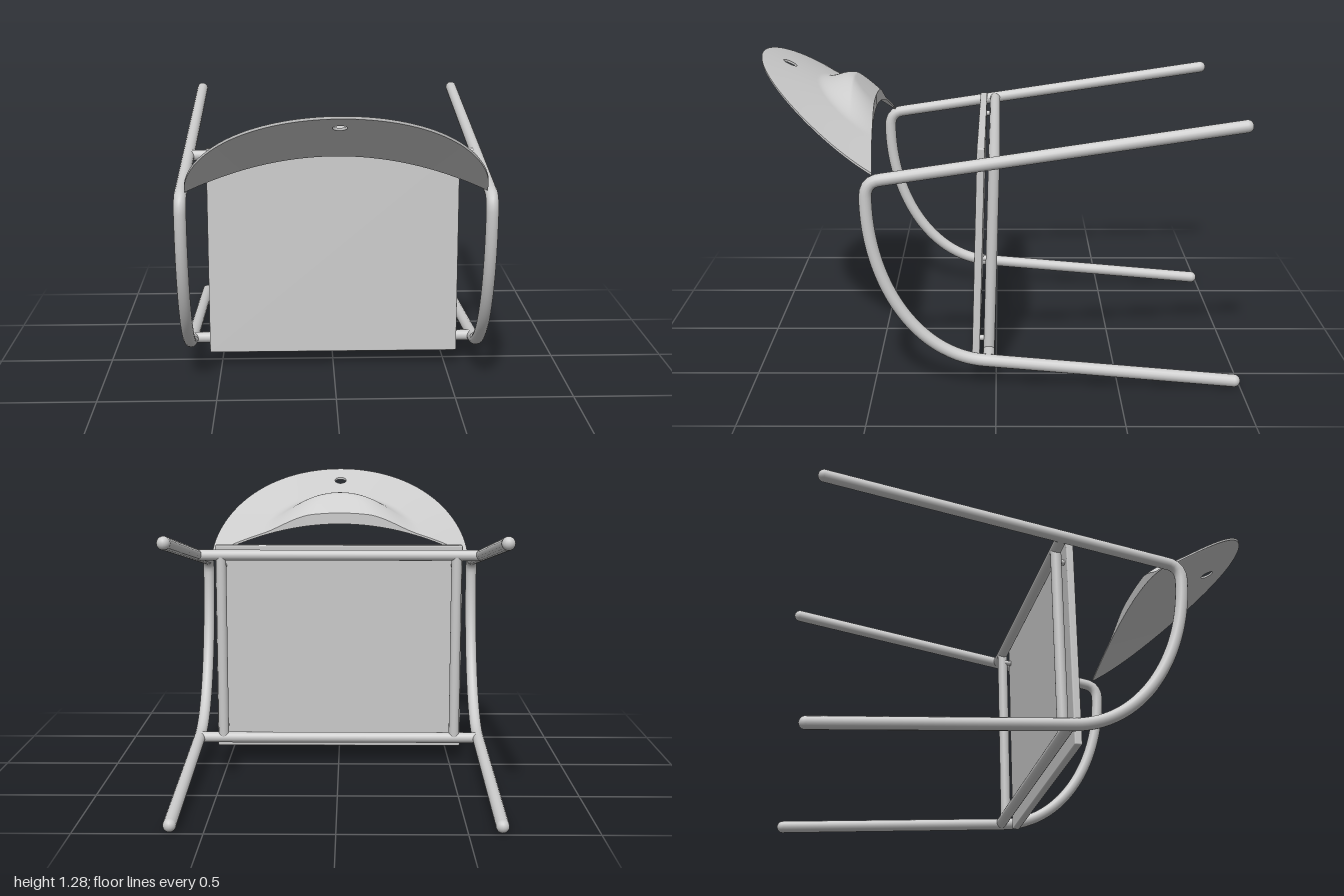
import * as THREE from 'three';
import { ParametricGeometry } from 'three/addons/geometries/ParametricGeometry.js';
import { RoundedBoxGeometry } from 'three/addons/geometries/RoundedBoxGeometry.js';

const V = (x, y, z) => new THREE.Vector3(x, y, z);
const R = 0.026;          // frame tube radius
const HALF = 0.61;        // half width of the backrest
const HOLE = [0, 0.89];   // plan position of the round hole (x, z)

// Backrest: plan outline, smooth saddle height, and the raised pad on the upper face
const innerZ = x => 0.52 - 0.03 * (x / HALF) ** 2;
function outline(u) {
  if (u <= 0.6) {
    const a = Math.PI * u / 0.6;
    return [HALF * Math.cos(a), 0.49 + 0.51 * Math.sin(a)];
  }
  const x = HALF * ((u - 0.6) / 0.2 - 1);
  return [x, innerZ(x)];
}
function height(x, z) {
  const k = (x / HALF) ** 2;
  return 1.045 - 0.15 * k + (z - innerZ(x)) * (0.485 + 0.15 * k);
}
function pad(x, z) {
  const d = z - innerZ(x);
  const e = Math.hypot(x / 0.38, d / 0.25);
  const fall = 1 - THREE.MathUtils.smoothstep(e, 0.35, 1);
  return 0.085 * fall * Math.min(1, 0.5 + Math.max(d, 0) / 0.18);
}
// s runs from the hole (0) to the outline (1); t from underside (0) to upper face (1)
function shellPoint(u, s, t, target) {
  const [ox, oz] = outline(u);
  const dx = ox - HOLE[0], dz = oz - HOLE[1];
  const r = 0.028 / Math.hypot(dx, dz);
  const k = r + (1 - r) * s;
  const x = HOLE[0] + dx * k, z = HOLE[1] + dz * k;
  target.set(x, height(x, z) + t * (0.01 + pad(x, z)), z);
}

export function createModel() {
  const model = new THREE.Group();
  const grey = new THREE.MeshStandardMaterial({ color: 0xcccccc });
  const thin = new THREE.MeshStandardMaterial({ color: 0xcccccc, side: THREE.DoubleSide });

  const add = (name, geometry, parent = model, material = grey) => {
    const mesh = new THREE.Mesh(geometry, material);
    mesh.name = name;
    parent.add(mesh);
    return mesh;
  };
  const rod = (name, a, b, radius, parent = model) => {
    const mesh = add(name, new THREE.CylinderGeometry(radius, radius, a.distanceTo(b), 20), parent);
    mesh.position.copy(a).lerp(b, 0.5);
    mesh.quaternion.setFromUnitVectors(V(0, 1, 0), b.clone().sub(a).normalize());
    return mesh;
  };

  // Side frames: leg, rounded corner, sweeping bend and second leg in one tube
  const ends = [V(0, 1.1, -0.975), V(0, 0.03, -0.975)];
  const path = new THREE.CurvePath();
  path.add(new THREE.LineCurve3(ends[0], V(0, 0.883, 0.46)));
  path.add(new THREE.QuadraticBezierCurve3(V(0, 0.883, 0.46), V(0, 0.875, 0.517), V(0, 0.81, 0.517)));
  path.add(new THREE.CubicBezierCurve3(V(0, 0.81, 0.517), V(0, 0.45, 0.517), V(0, 0.145, 0.32), V(0, 0.12, 0.05)));
  path.add(new THREE.LineCurve3(V(0, 0.12, 0.05), ends[1]));
  const frameTube = new THREE.TubeGeometry(path, 160, R, 16, false);
  const capBall = new THREE.SphereGeometry(R, 16, 12);
  for (const side of [1, -1]) {
    const frame = new THREE.Group();
    frame.name = side > 0 ? 'leftFrame' : 'rightFrame';
    frame.position.x = side * 0.63;
    add('frameTube', frameTube, frame);
    ends.forEach(p => add('legTip', capBall, frame).position.copy(p));
    model.add(frame);
  }

  // Seat support: two crossbars joined by two rails
  const top = V(0, 0.95, 0.008), bottom = V(0, 0.12, 0.03);
  for (const [name, p] of [['upperCrossbar', top], ['lowerCrossbar', bottom]]) {
    rod(name, V(-0.63, p.y, p.z), V(0.63, p.y, p.z), 0.024);
  }
  for (const x of [-0.52, 0.52]) {
    rod('seatRail', V(x, bottom.y, bottom.z), V(x, top.y, top.z), 0.023);
    for (const t of [0.06, 0.94]) {
      const p = bottom.clone().lerp(top, t).setX(x * 0.98);
      rod('seatSpacer', p, V(p.x, p.y, p.z + 0.045), 0.012);
    }
  }

  // Seat panel, tilted parallel to the rails
  const seat = add('seat', new RoundedBoxGeometry(1.1, 0.92, 0.032, 2, 0.006));
  seat.position.set(0, 0.531, 0.073);
  seat.rotation.x = -Math.atan2(0.022, 0.83);

  // Backrest shell: two faces, outer rim and hole wall
  const backrest = new THREE.Group();
  backrest.name = 'backrest';
  model.add(backrest);
  const sheet = (name, fn, stacks) =>
    add(name, new ParametricGeometry(fn, 120, stacks), backrest, thin);
  sheet('backrestUpperFace', (u, v, p) => shellPoint(u, v, 1, p), 36);
  sheet('backrestUnderside', (u, v, p) => shellPoint(1 - u, v, 0, p), 36);
  sheet('backrestRim', (u, v, p) => shellPoint(u, 1, 1 - v, p), 1);
  sheet('backrestHoleWall', (u, v, p) => shellPoint(1 - u, 0, 1 - v, p), 1);

  return model;
}
